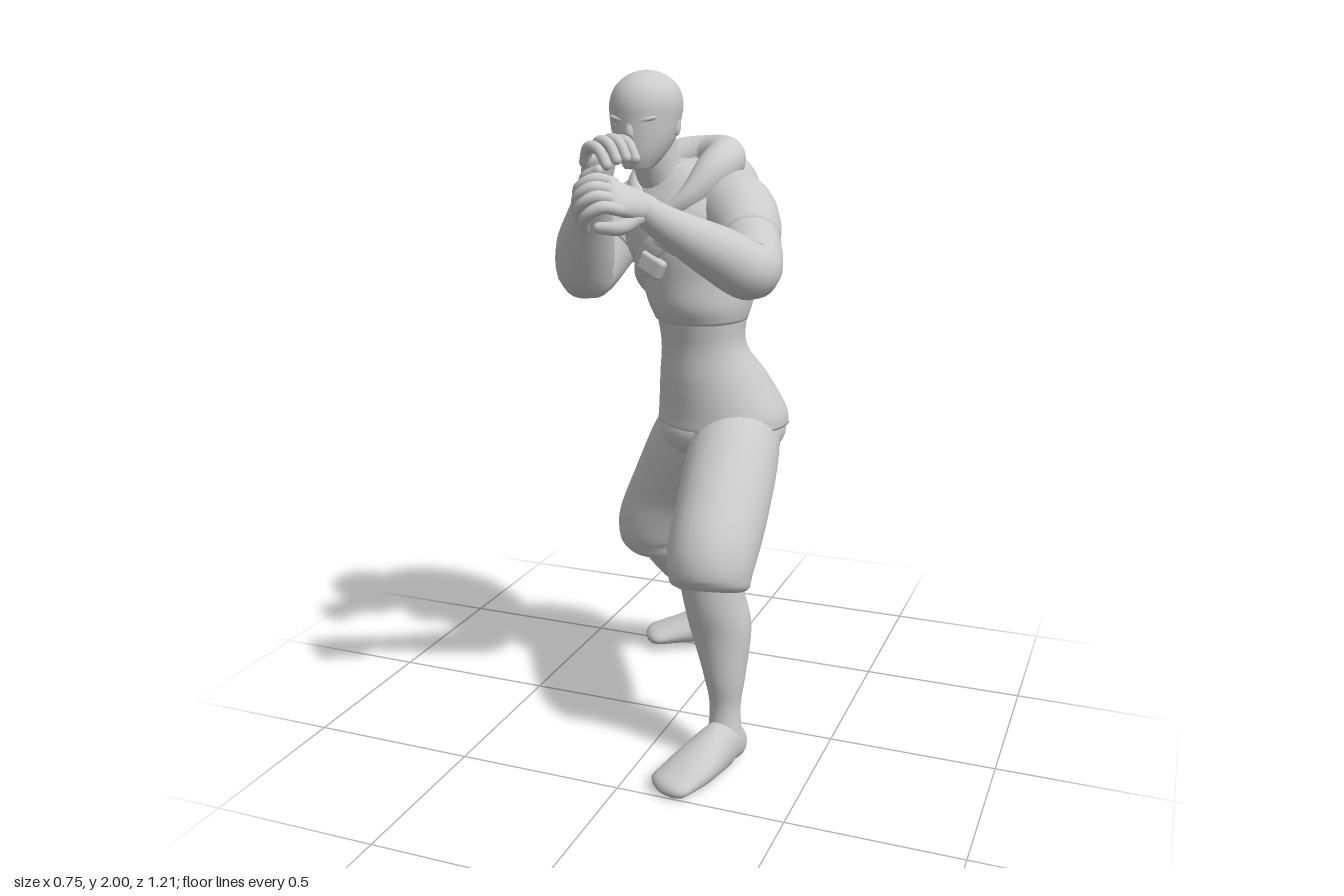
import * as THREE from 'three';
import { RoundedBoxGeometry } from 'three/addons/geometries/RoundedBoxGeometry.js';

const V = (x, y, z) => new THREE.Vector3(x, y, z);
const material = new THREE.MeshStandardMaterial({ color: 0xcccccc, roughness: 0.8 });

function add(parent, name, geometry, pos = [0, 0, 0], scale = [1, 1, 1]) {
  const mesh = new THREE.Mesh(geometry, material);
  mesh.name = name;
  mesh.position.set(...pos);
  mesh.scale.set(...scale);
  parent.add(mesh);
  return mesh;
}
const ball = (parent, name, pos, radii) => add(parent, name, new THREE.SphereGeometry(1, 28, 20), pos, radii);

// Smooth skin over elliptical sections; each row is [x, y, z, radiusAlongSide, otherRadius].
function sweep(rows, { side = V(1, 0, 0), level = false, cap = 0.02, closed = false, floor = -1, sides = 24 } = {}) {
  const path = new THREE.CatmullRomCurve3(rows.map(r => V(r[0], r[1], r[2])), closed, 'catmullrom');
  const size = new THREE.CatmullRomCurve3(rows.map(r => V(r[3], r[4] ?? r[3], 0)), closed, 'catmullrom');
  const steps = (rows.length - (closed ? 0 : 1)) * 6;
  const rings = [];
  for (let i = 0; i <= steps; i++) rings.push([i / steps, 0, 1]);
  if (!closed) for (let k = 1; k <= 4; k++) {
    const a = k * Math.PI / 8, s = Math.max(Math.cos(a), 0.002);
    rings.unshift([0, -cap * Math.sin(a), s]);
    rings.push([1, cap * Math.sin(a), s]);
  }
  const pos = [], index = [];
  let n = side.clone();
  for (const [t, shift, s] of rings) {
    const T = level ? V(0, 1, 0) : path.getTangent(t);
    n = n.clone().addScaledVector(T, -n.dot(T)).normalize();
    const b = T.clone().cross(n), c = path.getPoint(t).addScaledVector(T, shift), r = size.getPoint(t);
    for (let j = 0; j < sides; j++) {
      const a = j / sides * Math.PI * 2;
      const p = c.clone().addScaledVector(n, Math.cos(a) * r.x * s).addScaledVector(b, Math.sin(a) * r.y * s);
      pos.push(p.x, Math.max(p.y, floor), p.z);
    }
  }
  for (let i = 0; i < rings.length - 1; i++) for (let j = 0; j < sides; j++) {
    const k = (j + 1) % sides, u = i * sides, v = u + sides;
    index.push(u + j, u + k, v + k, u + j, v + k, v + j);
  }
  const g = new THREE.BufferGeometry();
  g.setAttribute('position', new THREE.Float32BufferAttribute(pos, 3));
  g.setIndex(index);
  g.computeVertexNormals();
  return g;
}

// Loose fist: y runs to the knuckles, z is the back of the hand, thumb on the given side.
function hand(parent, name, wrist, forward, back, thumbSide) {
  const g = new THREE.Group();
  g.name = name;
  const y = forward.normalize(), z = back.addScaledVector(y, -back.dot(y)).normalize();
  g.quaternion.setFromRotationMatrix(new THREE.Matrix4().makeBasis(y.clone().cross(z), y, z));
  g.position.set(...wrist);
  g.scale.setScalar(1.17);
  add(g, 'palm', sweep([[0, -0.02, 0, 0.033, 0.031], [0, 0.03, 0, 0.043, 0.028], [0, 0.08, 0, 0.05, 0.022]]));
  for (let i = 0; i < 4; i++) {
    const x = (i - 1.5) * 0.026, l = i === 1 || i === 2 ? 0.008 : 0;
    add(g, 'finger', sweep([[x, 0.07, 0.003, 0.014], [x * 1.05, 0.115 + l, -0.006, 0.0145],
      [x * 1.08, 0.13 + l, -0.045, 0.013], [x * 1.05, 0.108 + l, -0.082, 0.012]], { cap: 0.011, sides: 12 }));
  }
  const s = thumbSide;
  add(g, 'thumb', sweep([[s * 0.025, 0.01, -0.008, 0.02], [s * 0.055, 0.05, -0.03, 0.017],
    [s * 0.045, 0.085, -0.06, 0.013]], { cap: 0.012, sides: 12 }));
  parent.add(g);
}

export function createModel() {
  const model = new THREE.Group();
  model.name = 'fighter';
  const turn = V(0.96, 0, 0.28);

  // Torso: long shirt below, overlapping vest above
  const vest = [[0.045, 1.28, -0.067, 0.14, 0.136], [0.042, 1.33, -0.07, 0.154, 0.163], [0.03, 1.41, -0.083, 0.171, 0.184],
    [0.01, 1.5, -0.085, 0.197, 0.197], [0, 1.6, -0.085, 0.21, 0.187], [-0.01, 1.68, -0.085, 0.175, 0.15], [-0.02, 1.73, -0.075, 0.12, 0.11]];
  add(model, 'vest', sweep(vest, { side: turn, level: true, sides: 40, cap: 0.015 }));
  add(model, 'shirt', sweep([[0.092, 0.95, -0.14, 0.208, 0.189], [0.09, 1.0, -0.135, 0.201, 0.182], [0.07, 1.1, -0.112, 0.167, 0.158],
    [0.05, 1.2, -0.077, 0.133, 0.12], [0.045, 1.3, -0.072, 0.138, 0.135]], { side: turn, level: true, sides: 40, cap: 0.008 }));

  // Diagonal strap around the chest, with two pouches
  const onChest = (a, y, out) => {
    const i = Math.max(0, vest.findIndex(r => r[1] > y) - 1), p = vest[i], q = vest[i + 1];
    const t = (y - p[1]) / (q[1] - p[1]), m = k => p[k] + (q[k] - p[k]) * t;
    const u = Math.cos(a) * (m(3) + out), w = Math.sin(a) * (m(4) + out);
    return [m(0) + u * turn.x - w * turn.z, y, m(2) + u * turn.z + w * turn.x];
  };
  const strap = [];
  for (let i = 0; i < 20; i++) {
    const a = i / 20 * Math.PI * 2;
    strap.push([...onChest(a, 1.5 + 0.16 * Math.cos(a), 0), 0.034, 0.008]);
  }
  add(model, 'strap', sweep(strap, { side: V(-0.65, 0.75, -0.2), closed: true, sides: 14 }));
  for (const [a, y] of [[1.26, 1.53], [1.62, 1.455]]) {
    const pouch = add(model, 'pouch', new RoundedBoxGeometry(0.085, 0.06, 0.035, 3, 0.012), onChest(a, y, 0.008));
    pouch.rotation.set(0, -0.15, -0.45);
  }

  // Hood lying around the neck
  add(model, 'hoodRim', sweep([[0.03, 1.745, -0.172, 0.063, 0.066], [0.1, 1.745, -0.11, 0.064, 0.062], [0.1, 1.715, -0.01, 0.06, 0.055],
    [0.045, 1.635, 0.07, 0.04, 0.03], [-0.045, 1.585, 0.085, 0.03, 0.02], [-0.115, 1.645, 0.015, 0.045, 0.035],
    [-0.12, 1.69, -0.08, 0.055, 0.055], [-0.06, 1.735, -0.155, 0.06, 0.062]], { side: V(0, 1, 0), closed: true }));
  ball(model, 'hoodBag', [0.03, 1.64, -0.17], [0.16, 0.14, 0.1]);

  // Head and neck
  add(model, 'neck', sweep([[-0.03, 1.62, -0.05, 0.09], [-0.06, 1.71, 0, 0.07], [-0.08, 1.82, 0.03, 0.07]]));
  add(model, 'head', sweep([[-0.082, 1.73, 0.112, 0.04, 0.042], [-0.082, 1.765, 0.09, 0.066, 0.078], [-0.08, 1.81, 0.07, 0.086, 0.104],
    [-0.08, 1.86, 0.059, 0.098, 0.118], [-0.079, 1.91, 0.056, 0.102, 0.121], [-0.078, 1.95, 0.055, 0.09, 0.106], [-0.078, 1.978, 0.054, 0.064, 0.076],
    [-0.078, 1.993, 0.054, 0.036, 0.043], [-0.078, 1.999, 0.054, 0.008, 0.01]], { level: true, cap: 0.001, sides: 32 }));
  add(model, 'nose', sweep([[-0.082, 1.865, 0.164, 0.008], [-0.083, 1.835, 0.174, 0.013, 0.011], [-0.083, 1.82, 0.17, 0.015, 0.01]], { cap: 0.006, sides: 12 }));
  ball(model, 'mouth', [-0.083, 1.787, 0.156], [0.032, 0.011, 0.013]);
  for (const s of [-1, 1]) {
    const brow = ball(model, 'brow', [-0.082 + s * 0.04, 1.868, 0.157], [0.033, 0.009, 0.012]);
    brow.rotation.set(0, s * 0.35, s * 0.2);
    ball(model, 'eye', [-0.082 + s * 0.039, 1.85, 0.152], [0.017, 0.008, 0.01]);
    const ear = ball(model, 'ear', [-0.08 + s * 0.09, 1.845, 0.045], [0.01, 0.027, 0.017]);
    ear.rotation.x = -0.2;
  }

  // Arms, short sleeves and raised hands
  add(model, 'leftArm', sweep([[0.17, 1.61, -0.03, 0.095], [0.24, 1.55, 0.09, 0.087], [0.287, 1.475, 0.205, 0.082], [0.225, 1.525, 0.285, 0.076],
    [0.125, 1.605, 0.39, 0.052], [0.07, 1.655, 0.44, 0.039]], { side: V(0, 1, 0) }));
  add(model, 'leftSleeve', sweep([[0.11, 1.61, -0.08, 0.12], [0.175, 1.597, -0.01, 0.113], [0.22, 1.568, 0.055, 0.102],
    [0.248, 1.535, 0.11, 0.091]], { side: V(0, 1, 0), cap: 0.01 }));
  hand(model, 'leftHand', [0.065, 1.662, 0.445], V(-0.52, 0.36, 0.8), V(0.45, 0.7, 0.45), -1);
  add(model, 'rightArm', sweep([[-0.14, 1.6, -0.14, 0.095], [-0.232, 1.515, -0.11, 0.085], [-0.295, 1.405, -0.005, 0.084], [-0.275, 1.485, 0.06, 0.088],
    [-0.22, 1.6, 0.14, 0.064], [-0.175, 1.68, 0.2, 0.041]], { side: V(0, 0, 1) }));
  add(model, 'rightSleeve', sweep([[-0.09, 1.6, -0.14, 0.115], [-0.168, 1.577, -0.148, 0.108], [-0.213, 1.53, -0.13, 0.098],
    [-0.242, 1.485, -0.09, 0.09]], { side: V(0, 0, 1), cap: 0.01 }));
  hand(model, 'rightHand', [-0.172, 1.685, 0.205], V(0.25, 0.8, 0.28), V(-0.75, 0.4, -0.4), 1);

  // Baggy knee-length trousers
  ball(model, 'trouserSeat', [0.09, 0.925, -0.142], [0.197, 0.105, 0.18]);
  add(model, 'leftTrouserLeg', sweep([[0.152, 0.935, -0.12, 0.128, 0.148], [0.166, 0.845, 0, 0.138, 0.148], [0.178, 0.73, 0.125, 0.136, 0.147],
    [0.183, 0.635, 0.218, 0.13, 0.138], [0.187, 0.56, 0.245, 0.118, 0.112]], { cap: 0.03 }));
  add(model, 'rightTrouserLeg', sweep([[0.045, 0.95, -0.155, 0.135, 0.145], [-0.022, 0.835, -0.193, 0.146, 0.145], [-0.113, 0.68, -0.235, 0.134, 0.132],
    [-0.178, 0.545, -0.258, 0.127, 0.13], [-0.183, 0.475, -0.272, 0.113, 0.116]], { cap: 0.03 }));

  // Bare shins and feet, left forward and right behind
  add(model, 'leftShin', sweep([[0.18, 0.64, 0.24, 0.095], [0.198, 0.52, 0.235, 0.09], [0.216, 0.42, 0.222, 0.09, 0.084], [0.233, 0.28, 0.235, 0.062],
    [0.237, 0.18, 0.24, 0.046], [0.24, 0.07, 0.25, 0.053]]));
  add(model, 'leftFoot', sweep([[0.253, 0.052, 0.212, 0.043, 0.052], [0.238, 0.072, 0.268, 0.052, 0.078], [0.195, 0.05, 0.38, 0.072, 0.053],
    [0.152, 0.027, 0.465, 0.071, 0.029]], { side: V(1, 0, 0.3), cap: 0.04, floor: 0 }));
  add(model, 'rightShin', sweep([[-0.19, 0.58, -0.25, 0.095], [-0.165, 0.48, -0.31, 0.097], [-0.125, 0.38, -0.37, 0.09], [-0.08, 0.25, -0.455, 0.065],
    [-0.05, 0.17, -0.51, 0.05], [-0.036, 0.09, -0.54, 0.055]]));
  add(model, 'rightFoot', sweep([[-0.02, 0.08, -0.56, 0.046, 0.058], [-0.055, 0.092, -0.54, 0.056, 0.077], [-0.15, 0.066, -0.495, 0.068, 0.052],
    [-0.25, 0.045, -0.448, 0.072, 0.03]], { side: V(0.42, 0, 0.9), cap: 0.045, floor: 0.015 }));
  return model;
}
